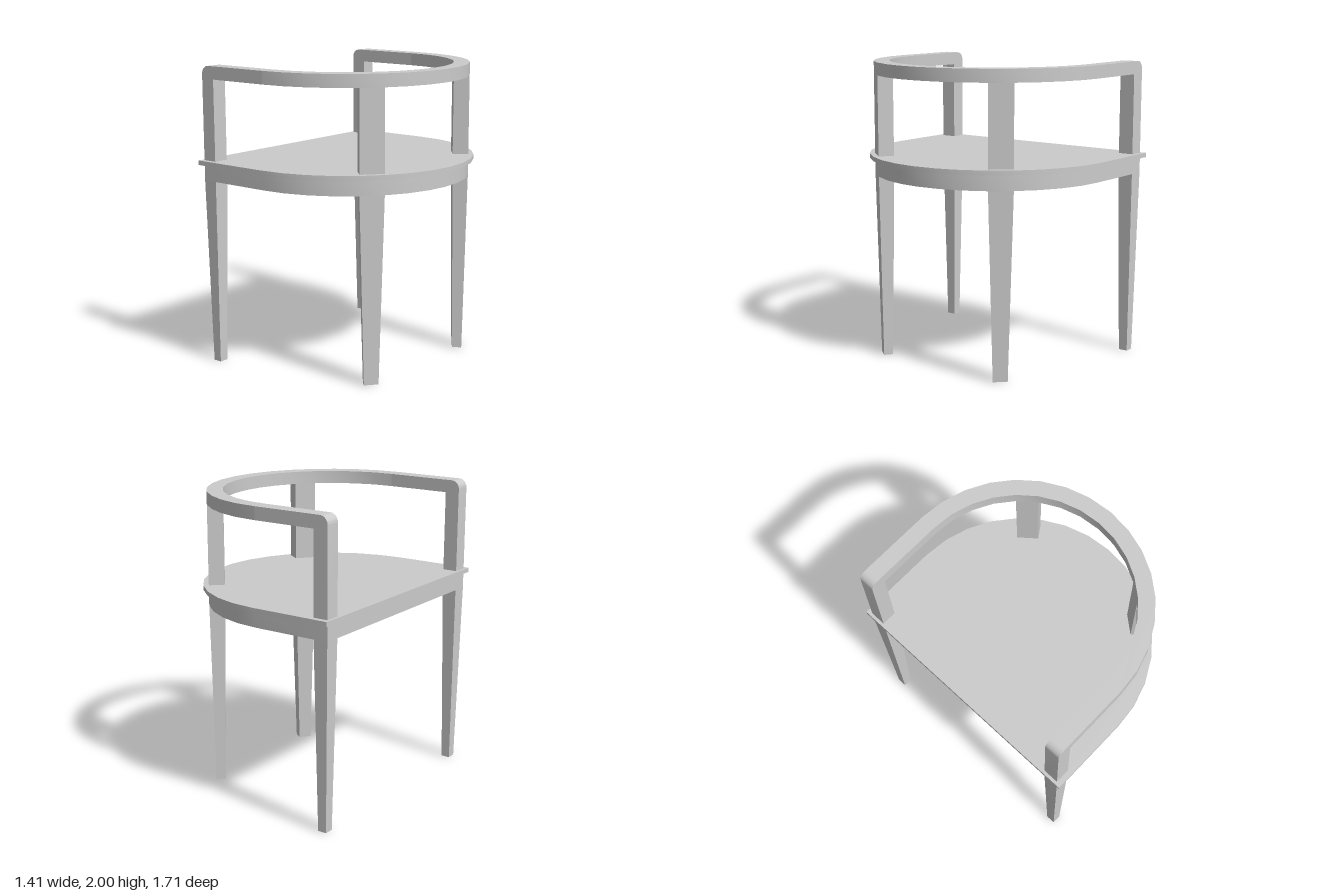
import * as THREE from 'three';
import { toCreasedNormals } from 'three/addons/utils/BufferGeometryUtils.js';

const CX = -0.15;                   // centre of the round back
const OUTER = 0.82, INNER = 0.715;  // radii of the frame
const FRONT = -0.685, POST = 0.1;   // open edge of the frame, width of the end posts
const STEP = Math.PI / 16;          // one facet of the curve
const SEAT_LOW = 1.35, SEAT_TOP = 1.38, APRON_LOW = 1.245, RAIL_LOW = 1.915, TOP = 2;

const material = new THREE.MeshStandardMaterial({ color: 0xcccccc });

function add(group, name, geometry) {
  const mesh = new THREE.Mesh(toCreasedNormals(geometry, 0.5), material);
  mesh.name = name;
  group.add(mesh);
}

// Points [x, z] along the round back, counted in facets from +x
function arc(radius, from, to) {
  const points = [];
  for (let i = from; i <= to; i++) {
    points.push([CX + radius * Math.cos(i * STEP), radius * Math.sin(i * STEP)]);
  }
  return points;
}

const sector = (from, to) => [...arc(OUTER, from, to), ...arc(INNER, from, to).reverse()];

// Upright prism over a plan outline
function prism(outline, y0, y1) {
  const shape = new THREE.Shape(outline.map(([x, z]) => new THREE.Vector2(x, -z)));
  return new THREE.ExtrudeGeometry(shape, { depth: y1 - y0, bevelEnabled: false })
    .rotateX(-Math.PI / 2).translate(0, y0, 0);
}

// Prism whose foot shrinks towards the middle of its outline
function taperedLeg(outline) {
  const geometry = prism(outline, 0, APRON_LOW);
  const cx = outline.reduce((s, p) => s + p[0], 0) / outline.length;
  const cz = outline.reduce((s, p) => s + p[1], 0) / outline.length;
  const pos = geometry.attributes.position;
  for (let i = 0; i < pos.count; i++) {
    if (pos.getY(i) > 0.01) continue;
    pos.setX(i, cx + (pos.getX(i) - cx) * 0.6);
    pos.setZ(i, cz + (pos.getZ(i) - cz) * 0.6);
  }
  return geometry;
}

// Straight arm and its front post in one piece with a rounded corner
function armGeometry(z0) {
  const r = 0.055;
  const s = new THREE.Shape();
  s.moveTo(FRONT, SEAT_TOP);
  s.lineTo(FRONT + POST, SEAT_TOP);
  s.lineTo(FRONT + POST, RAIL_LOW);
  s.lineTo(CX, RAIL_LOW);
  s.lineTo(CX, TOP);
  s.lineTo(FRONT + r, TOP);
  s.absarc(FRONT + r, TOP - r, r, Math.PI / 2, Math.PI, false);
  return new THREE.ExtrudeGeometry(s, { depth: OUTER - INNER, bevelEnabled: false, curveSegments: 6 })
    .translate(0, 0, z0);
}

export function createModel() {
  const chair = new THREE.Group();
  chair.name = 'chair';

  // D-shaped seat board and the solid apron below it
  const plate = (radius, x) => [[x, -radius], ...arc(radius, -8, 8), [x, radius]];
  add(chair, 'seat', prism(plate(0.855, -0.705), SEAT_LOW, SEAT_TOP));
  add(chair, 'apron', prism(plate(OUTER, FRONT), APRON_LOW, SEAT_LOW));

  // Curved top rail
  add(chair, 'backRail', prism(sector(-8, 8), RAIL_LOW, TOP));

  for (const [side, label] of [[1, 'left'], [-1, 'right']]) {
    add(chair, label + 'Arm', armGeometry(side > 0 ? INNER : -OUTER));

    // One facet of the ring carries the curved-side post and leg
    const facet = side > 0 ? sector(3, 4) : sector(-4, -3);
    add(chair, label + 'BackPost', prism(facet, SEAT_TOP, RAIL_LOW));
    add(chair, label + 'BackLeg', taperedLeg(facet));

    const a = side * INNER, b = side * OUTER;
    add(chair, label + 'FrontLeg', taperedLeg(
      [[FRONT, a], [FRONT + POST, a], [FRONT + POST, b], [FRONT, b]]));
  }
  return chair;
}
